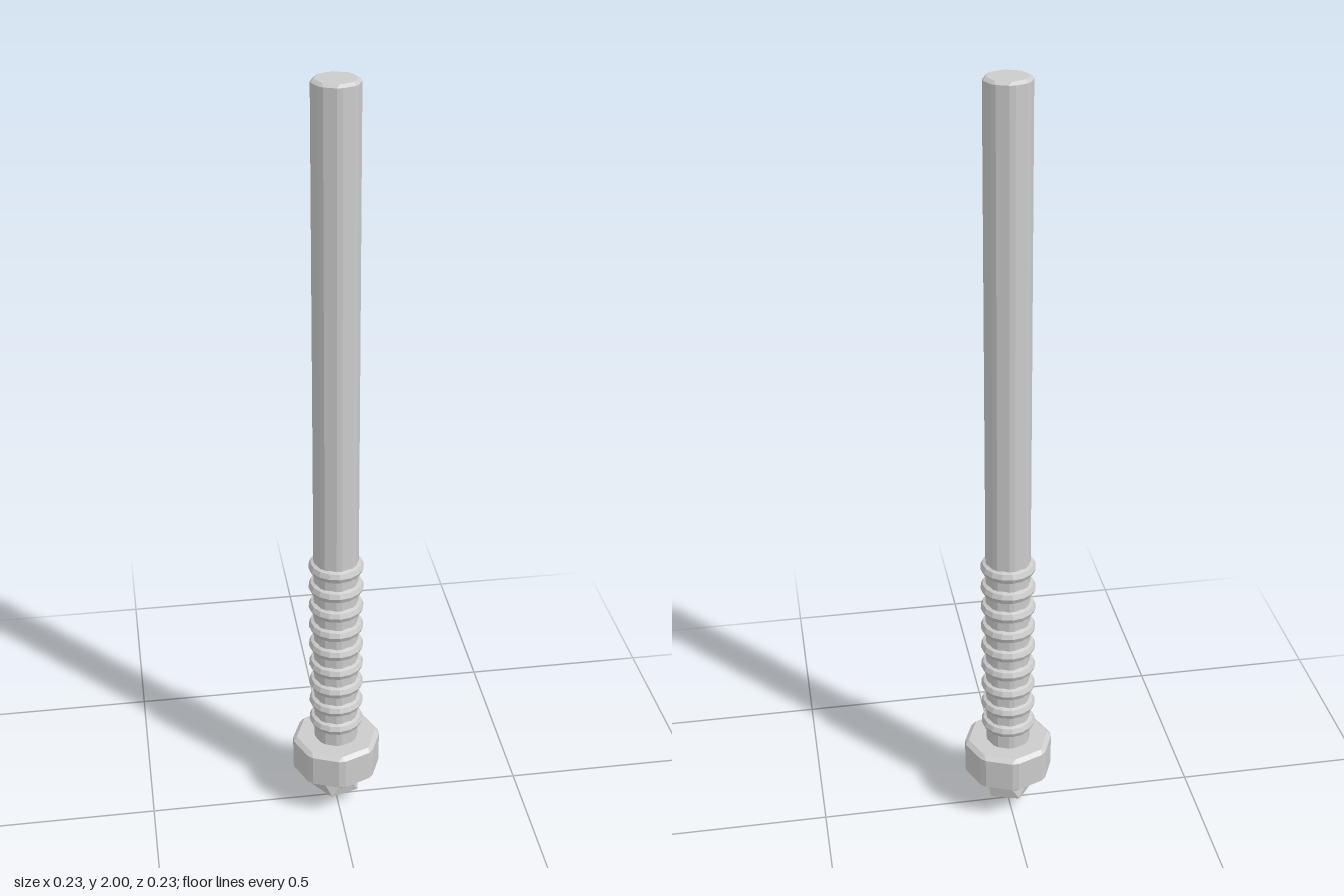
import * as THREE from 'three';
import { ConvexGeometry } from 'three/addons/geometries/ConvexGeometry.js';

const material = new THREE.MeshStandardMaterial({ color: 0xcccccc, flatShading: true });

function addPart(group, name, geometry, y = 0) {
  const mesh = new THREE.Mesh(geometry, material);
  mesh.name = name;
  mesh.position.y = y;
  group.add(mesh);
  return mesh;
}

// Octagonal prism with every edge chamfered by the given bevel
function chamferedOctagon(radius, bevel, y0, y1) {
  const points = [];
  const spread = bevel / radius;
  const add = (r, a, y) => points.push(new THREE.Vector3(r * Math.sin(a), y, r * Math.cos(a)));
  for (let i = 0; i < 8; i++) {
    const a = (i * Math.PI) / 4;
    for (const [cap, side] of [[y0, y0 + bevel], [y1, y1 - bevel]]) {
      add(radius - bevel, a, cap);
      add(radius, a - spread, side);
      add(radius, a + spread, side);
    }
  }
  return new ConvexGeometry(points);
}

export function createModel() {
  const model = new THREE.Group();
  model.name = 'handle';

  // Long shaft, running down into the collar
  addPart(model, 'shaft', chamferedOctagon(0.058, 0.007, 0.12, 2));

  // Evenly spaced grip rings
  const grip = new THREE.Group();
  grip.name = 'gripRings';
  const ring = new THREE.TorusGeometry(0.0535, 0.018, 8, 16).rotateX(Math.PI / 2);
  for (let i = 0; i < 9; i++) addPart(grip, 'gripRing', ring, 0.264 + i * 0.0595);
  model.add(grip);

  // Wide collar at the base
  addPart(model, 'collar', chamferedOctagon(0.116, 0.009, 0.105, 0.208));

  // Faceted gem standing on one point
  const gem = new THREE.IcosahedronGeometry(0.073, 0);
  gem.rotateZ(-Math.atan(2 / (1 + Math.sqrt(5))));
  addPart(model, 'gem', gem, 0.073);

  return model;
}
